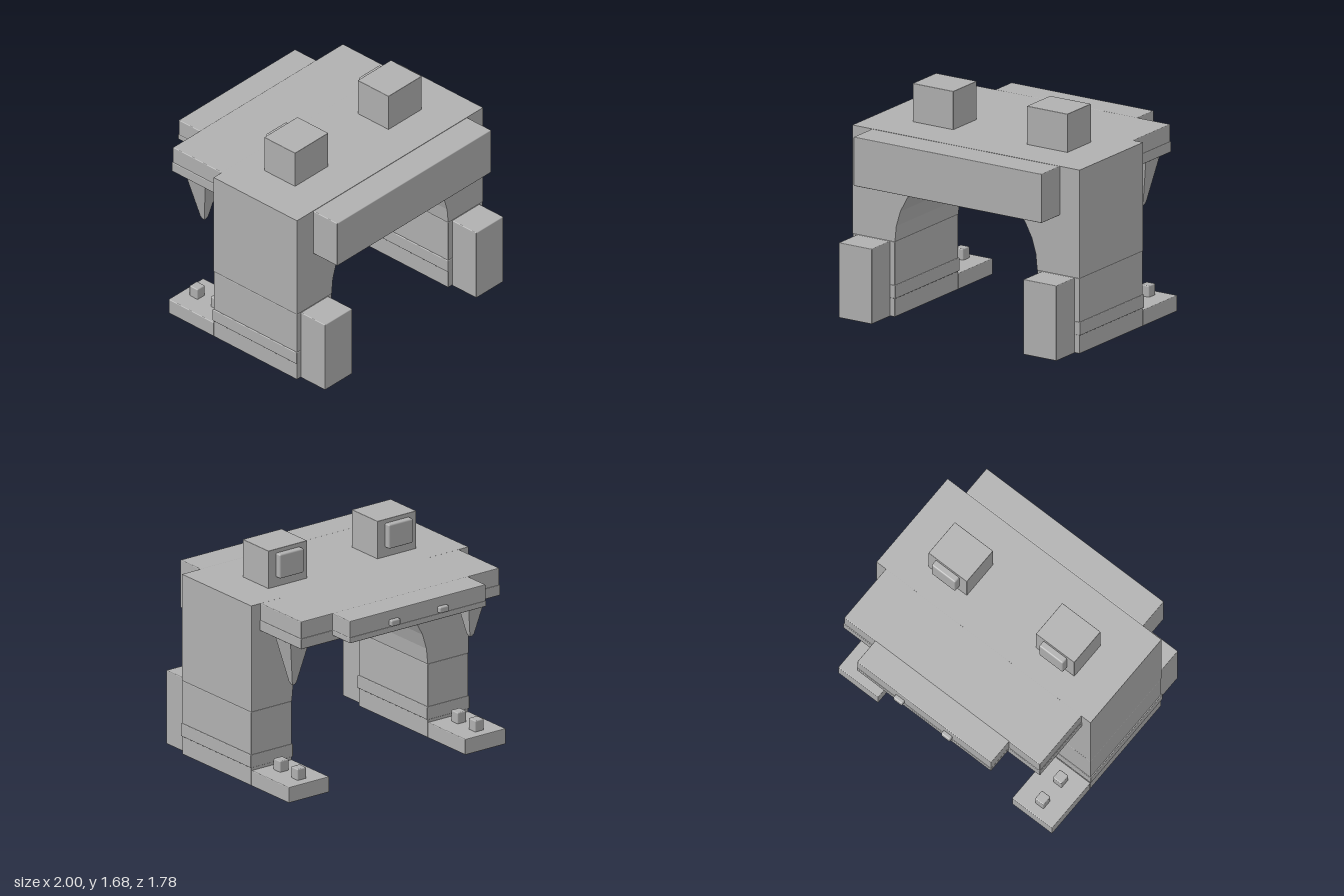
import * as THREE from 'three';
import { RoundedBoxGeometry } from 'three/addons/geometries/RoundedBoxGeometry.js';

export function createModel() {
  const model = new THREE.Group();
  model.name = 'archBlockModel';
  const grey = new THREE.MeshStandardMaterial({ color: 0xb0b0b0 });
  grey.name = 'plain grey';

  const add = (name, geometry) => {
    const mesh = new THREE.Mesh(geometry, grey);
    mesh.name = name;
    model.add(mesh);
    return mesh;
  };

  // Softly bevelled block given by its limits on each axis
  const block = (name, x0, x1, y0, y1, z0, z1, bevel = 0.006) => {
    const geometry = new RoundedBoxGeometry(x1 - x0, y1 - y0, z1 - z0, 2, bevel);
    geometry.translate((x0 + x1) / 2, (y0 + y1) / 2, (z0 + z1) / 2);
    return add(name, geometry);
  };

  // The same block on both sides of the model
  const pair = (name, x0, x1, ...rest) => {
    block(name + 'Left', x0, x1, ...rest);
    block(name + 'Right', -x1, -x0, ...rest);
  };

  // Main body with a faceted half-round arch running through it
  const outline = new THREE.Shape();
  outline.moveTo(-0.99, 0.57);
  for (let i = 0; i <= 16; i++) {
    const a = Math.PI * (1 - i / 16);
    outline.lineTo(0.62 * Math.cos(a), 0.57 + 0.62 * Math.sin(a));
  }
  outline.lineTo(0.99, 0.57);
  outline.lineTo(0.99, 1.39);
  outline.lineTo(-0.99, 1.39);
  const body = new THREE.ExtrudeGeometry(outline, { depth: 0.82, bevelEnabled: false });
  body.translate(0, 0, -0.17);
  add('archBody', body);

  // Legs with raised bands, front pillars and rear feet
  pair('leg', 0.62, 0.99, 0, 0.568, -0.17, 0.65);
  pair('legBand', 0.612, 0.998, 0.14, 0.24, -0.175, 0.655);
  pair('frontPillar', 0.66, 0.95, 0, 0.568, 0.65, 0.89);
  pair('rearFoot', 0.62, 0.99, 0, 0.12, -0.615, -0.17);
  for (const z of [-0.29, -0.498]) {
    pair('footKnob', 0.77, 0.85, 0.115, 0.205, z - 0.041, z + 0.041, 0.008);
  }

  // Front beam
  block('frontBeam', -0.82, 0.82, 1.02, 1.39, 0.65, 0.89);

  // Rear overhang in two steps, each with a thin lower lip
  block('overhangUpper', -0.905, 0.905, 1.25, 1.39, -0.65, -0.165);
  block('overhangLip', -0.91, 0.91, 1.18, 1.26, -0.656, -0.165);
  block('noseUpper', -0.62, 0.62, 1.255, 1.39, -0.857, -0.645);
  block('noseLip', -0.622, 0.622, 1.222, 1.265, -0.862, -0.645);
  pair('noseStud', 0.18, 0.262, 1.275, 1.322, -0.89, -0.85, 0.01);

  // Square tapered fangs under the overhang, narrowing to a blunt tip
  for (const side of [1, -1]) {
    const fang = new THREE.CylinderGeometry(0.09 * Math.SQRT2, 0.02 * Math.SQRT2, 0.34, 4).toNonIndexed();
    fang.rotateY(Math.PI / 4);
    fang.computeVertexNormals();
    add('fang', fang).position.set(side * 0.81, 1.012, -0.428);
    const tip = new THREE.CylinderGeometry(0.02 * Math.SQRT2, 0.01 * Math.SQRT2, 0.022, 4).toNonIndexed();
    tip.rotateY(Math.PI / 4);
    tip.computeVertexNormals();
    add('fangTip', tip).position.set(side * 0.81, 0.831, -0.428);
  }

  // Top blocks with raised plates on their rear faces
  pair('topBlock', 0.32, 0.675, 1.388, 1.68, 0.036, 0.34, 0.004);
  pair('topBlockPlate', 0.388, 0.608, 1.463, 1.65, -0.015, 0.042, 0.012);

  return model;
}
